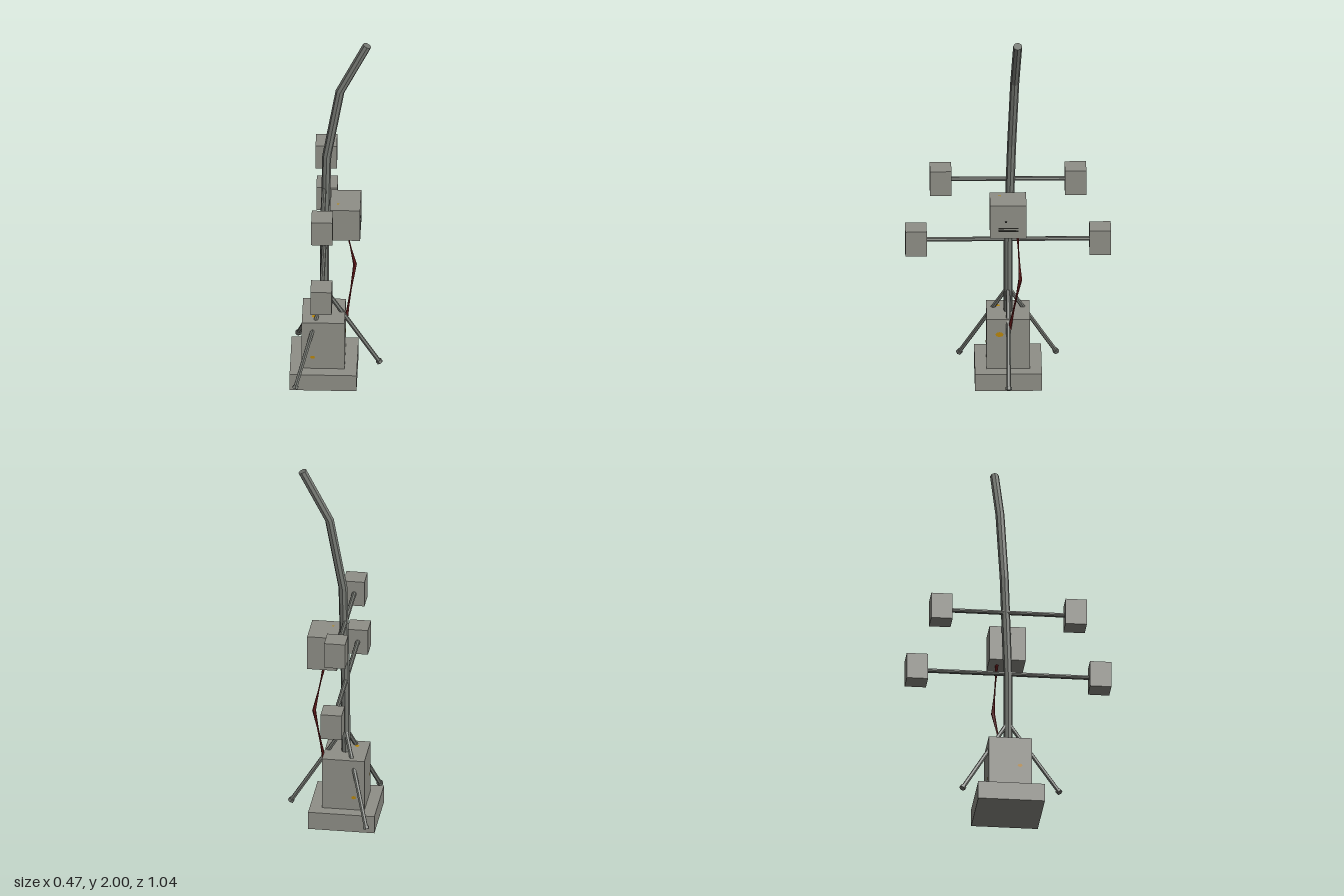
import * as THREE from 'three';

const mat = (name, color) => {
  const m = new THREE.MeshStandardMaterial({ color, flatShading: true });
  m.name = name;
  return m;
};

export function createModel() {
  const model = new THREE.Group();
  const concrete = mat('concreteGrey', 0x8f8f87);
  const steel = mat('steelGrey', 0x757872);
  const red = mat('cableRed', 0x6b1c1c);
  const yellow = mat('markYellow', 0xb8860b);
  const dark = mat('darkLine', 0x22221f);

  const add = (name, geometry, material) => {
    const mesh = new THREE.Mesh(geometry, material);
    mesh.name = name;
    model.add(mesh);
    return mesh;
  };

  // Box given by its lower and upper limits on each axis
  const box = (name, [x0, x1], [y0, y1], [z0, z1], material) =>
    add(name, new THREE.BoxGeometry(x1 - x0, y1 - y0, z1 - z0), material)
      .position.set((x0 + x1) / 2, (y0 + y1) / 2, (z0 + z1) / 2);

  // Round bar through a list of points, mitred at the bends
  const bar = (name, coords, radius, sides, material) => {
    const pts = coords.map((c) => new THREE.Vector3(...c));
    const last = pts.length - 1;
    const dir = (i) => pts[i + 1].clone().sub(pts[i]).normalize();
    const turns = pts.map((_, i) => {
      const t = i === 0 ? dir(0) : i === last ? dir(last - 1) : dir(i - 1).add(dir(i)).normalize();
      return new THREE.Quaternion().setFromUnitVectors(new THREE.Vector3(0, 1, 0), t);
    });
    const g = new THREE.CylinderGeometry(radius, radius, last, sides, last);
    const p = g.attributes.position;
    const v = new THREE.Vector3();
    for (let k = 0; k < p.count; k++) {
      const i = Math.round(p.getY(k) + last / 2);
      v.set(p.getX(k), 0, p.getZ(k)).applyQuaternion(turns[i]).add(pts[i]);
      p.setXYZ(k, v.x, v.y, v.z);
    }
    g.computeVertexNormals();
    return add(name, g, material);
  };

  // Stepped base
  box('basePlinth', [-0.235, 0.105], [0, 0.095], [-0.17, 0.17], concrete);
  box('baseBlock', [-0.175, 0.042], [0.095, 0.375], [-0.11, 0.11], concrete);

  // Tall bent mast
  bar('mast', [[-0.065, 0.3, 0], [-0.063, 0.75, 0], [-0.052, 1.32, -0.018],
    [0.015, 1.71, -0.033], [0.152, 1.985, -0.046]], 0.023, 8, steel);

  // Crossbars with a box on each end
  for (const [level, y, inner, outer] of [['upper', 1.123, 0.288, 0.397], ['lower', 0.78, 0.413, 0.522]]) {
    bar(level + 'Crossbar', [[-0.065, y, -inner - 0.03], [-0.065, y, inner + 0.03]], 0.012, 8, steel);
    for (const s of [-1, 1]) {
      const z = s > 0 ? [inner, outer] : [-outer, -inner];
      box(level + (s > 0 ? 'FrontBox' : 'BackBox'), [-0.118, -0.01], [y - 0.069, y + 0.069], z, concrete);
    }
  }

  // Control box on the mast
  box('controlBox', [-0.032, 0.121], [0.876, 1.061], [-0.091, 0.094], concrete);
  for (const y of [0.918, 0.933]) box('controlBoxSlot', [0.12, 0.123], [y - 0.003, y + 0.003], [-0.05, 0.05], dark);
  box('controlBoxDot', [0.12, 0.123], [0.966, 0.972], [0.008, 0.018], dark);

  // Power cable from the control box to the base
  bar('cable', [[0.035, 0.9, -0.045], [0.09, 0.625, -0.06], [0.046, 0.32, -0.005]], 0.01, 6, red);

  // Three bracing legs with small feet
  for (const [x, z] of [[0.215, 0], [-0.203, 0.245], [-0.203, -0.245]]) {
    const top = new THREE.Vector3(-0.06, 0.51, 0);
    const foot = new THREE.Vector3(x, 0.07, z);
    bar('braceLeg', [top.toArray(), foot.toArray()], 0.011, 6, steel);
    const step = foot.clone().sub(top).normalize().multiplyScalar(0.008);
    bar('braceFoot', [foot.clone().sub(step).toArray(), foot.clone().add(step).toArray()], 0.016, 6, steel);
  }

  // Small painted marks on the base block and control box
  const mark = (name, w, h, [x, y, z], [rx, ry]) => {
    const m = add(name, new THREE.CircleGeometry(0.5, 8), yellow);
    m.scale.set(w, h, 1);
    m.position.set(x, y, z);
    m.rotation.set(rx, ry, 0);
  };
  const q = Math.PI / 2;
  mark('frontMark', 0.025, 0.018, [-0.12, 0.165, 0.112], [0, 0]);
  mark('backMark', 0.025, 0.018, [-0.12, 0.165, -0.112], [0, 2 * q]);
  mark('leftMark', 0.042, 0.028, [0.044, 0.29, 0.045], [0, q]);
  mark('rightMark', 0.025, 0.018, [-0.177, 0.22, 0.05], [0, -q]);
  mark('topMark', 0.022, 0.024, [-0.115, 0.377, 0.052], [-q, 0]);
  for (const z of [0.038, 0.047]) mark('controlBoxMark', 0.016, 0.005, [0.008, 1.063, z], [-q, 0]);

  return model;
}
